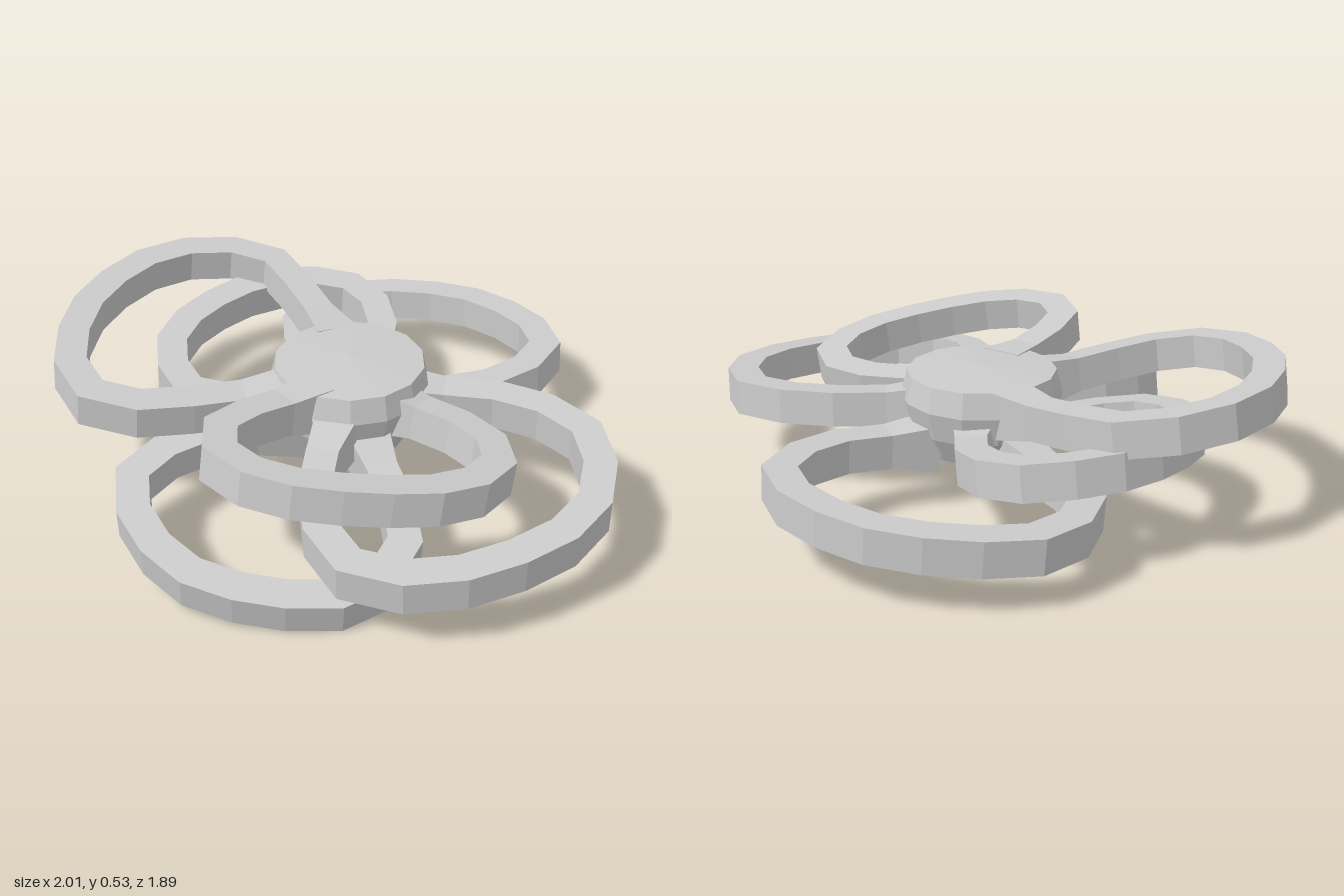
import * as THREE from 'three';

const material = new THREE.MeshStandardMaterial({ color: 0xcccccc, flatShading: true });
const WIDTH = 0.105, HEIGHT = 0.118, SEGMENTS = 15;

// Each petal: a few centreline points [x, z] from hub to hub, lying on the plane y = c + a*x + b*z
const petals = [
  { name: 'rightUpperPetal', plane: [0.32, -0.135, -0.058], path: [
    [-0.12, -0.17], [-0.37, -0.38], [-0.58, -0.49], [-0.87, -0.30], [-0.94, 0.13], [-0.76, 0.49], [-0.58, 0.53], [-0.12, 0.16]] },
  { name: 'rightLowerPetal', plane: [0.20, -0.114, -0.124], path: [
    [-0.01, -0.18], [-0.07, -0.46], [-0.24, -0.61], [-0.55, -0.48], [-0.70, -0.04], [-0.50, 0.19], [-0.14, 0.01]] },
  { name: 'backPetal', plane: [0.19, 0.06, 0], path: [
    [0.15, -0.14], [0.46, -0.39], [0.50, -0.66], [0.12, -0.89], [-0.36, -0.77], [-0.43, -0.47], [-0.12, -0.14]] },
  { name: 'leftPetal', plane: [0.295, -0.02, -0.09], path: [
    [0.16, -0.04], [0.58, -0.145], [0.84, -0.06], [0.945, 0.30], [0.63, 0.72], [0.34, 0.77], [0.13, 0.50], [0.07, 0.20]] },
  { name: 'frontLowerPetal', plane: [0.2535, -0.13, -0.2], path: [
    [-0.09, 0.17], [-0.39, 0.44], [-0.45, 0.67], [-0.13, 0.88], [0.36, 0.73], [0.43, 0.49], [0.14, 0.14]] },
  { name: 'frontUpperPetal', plane: [0.325, -0.074, 0.129], path: [
    [-0.02, 0.18], [-0.165, 0.56], [-0.09, 0.70], [0.12, 0.735], [0.58, 0.46], [0.635, 0.24], [0.52, 0.11], [0.16, 0.05]] }
];

// Sweeps a mitred rectangular bar along the centreline, thicker where it meets the hub
function petalGeometry({ plane: [c, a, b], path }) {
  const up = new THREE.Vector3(-a, 1, -b).normalize();
  const curve = new THREE.CatmullRomCurve3(path.map(([x, z]) => new THREE.Vector3(x, c + a * x + b * z, z)));
  const points = curve.getSpacedPoints(SEGMENTS);
  const positions = [], indices = [];
  points.forEach((p, i) => {
    const before = p.clone().sub(points[Math.max(i - 1, 0)]).normalize();
    const after = points[Math.min(i + 1, SEGMENTS)].clone().sub(p).normalize();
    const tangent = before.clone().add(after).normalize();
    const isEnd = i === 0 || i === SEGMENTS;
    const miter = isEnd ? 1 : 1 / Math.max(tangent.dot(after), 0.7);
    const flare = isEnd ? 1.4 : 1;
    const side = up.clone().cross(tangent);
    for (const [s, u] of [[1, 1], [-1, 1], [-1, -1], [1, -1]]) {
      const corner = p.clone()
        .addScaledVector(side, s * WIDTH / 2 * miter * flare)
        .addScaledVector(up, u * HEIGHT / 2 * flare);
      positions.push(corner.x, corner.y, corner.z);
    }
    if (i === SEGMENTS) return;
    for (let k = 0; k < 4; k++) {
      const p0 = i * 4 + k, p1 = i * 4 + (k + 1) % 4;
      indices.push(p0, p1, p1 + 4, p0, p1 + 4, p0 + 4);
    }
  });
  // End caps, buried in the hub
  const e = SEGMENTS * 4;
  indices.push(0, 2, 1, 0, 3, 2, e, e + 1, e + 2, e, e + 2, e + 3);
  const geometry = new THREE.BufferGeometry();
  geometry.setAttribute('position', new THREE.Float32BufferAttribute(positions, 3));
  geometry.setIndex(indices);
  const flat = geometry.toNonIndexed();
  flat.computeVertexNormals();
  return flat;
}

export function createModel() {
  const group = new THREE.Group();

  // Faceted hub with a slightly domed top
  const profile = [[0, 0.15], [0.20, 0.15], [0.25, 0.24], [0.275, 0.34], [0.255, 0.425], [0, 0.44]]
    .map(([r, y]) => new THREE.Vector2(r, y));
  const hub = new THREE.Mesh(new THREE.LatheGeometry(profile, 14).toNonIndexed(), material);
  hub.geometry.computeVertexNormals();
  hub.position.x = 0.015;
  hub.name = 'hub';
  group.add(hub);

  // Looped petals
  for (const petal of petals) {
    const mesh = new THREE.Mesh(petalGeometry(petal), material);
    mesh.name = petal.name;
    group.add(mesh);
  }
  return group;
}
